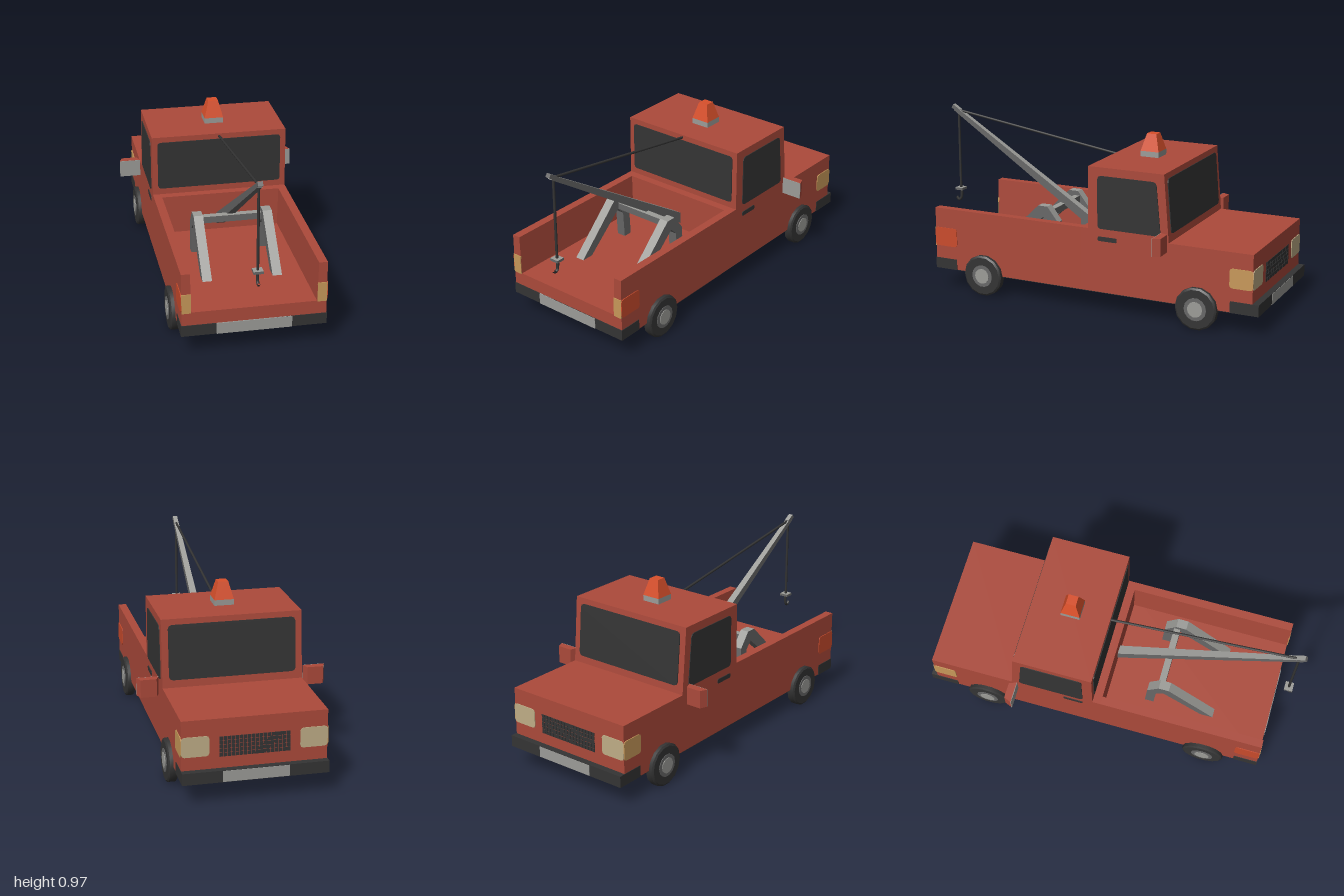
import * as THREE from 'three';
import { toCreasedNormals } from 'three/addons/utils/BufferGeometryUtils.js';

const mat = (name, color) => {
  const m = new THREE.MeshStandardMaterial({ color });
  m.name = name;
  return m;
};

export function createModel() {
  const model = new THREE.Group();
  model.name = 'towTruck';
  const red = mat('redPaint', 0xac4a3b);
  const dark = mat('darkRubberAndGlass', 0x343434);
  const light = mat('lightGrey', 0x9c9c98);
  const steel = mat('steel', 0x686868);
  const amber = mat('amberLamp', 0xc8995a);
  const lamp = mat('headlampGlass', 0xc0ae87);
  const orange = mat('orangeBeacon', 0xd9502b);
  const tail = mat('tailLamp', 0xca4b2c);

  const add = (name, geo, material, parent = model) => {
    const m = new THREE.Mesh(geo, material);
    m.name = name;
    parent.add(m);
    return m;
  };
  // Box given by its limits on each axis
  const box = (name, material, [x0, x1], [y0, y1], [z0, z1]) => {
    const m = add(name, new THREE.BoxGeometry(x1 - x0, y1 - y0, z1 - z0), material);
    m.position.set((x0 + x1) / 2, (y0 + y1) / 2, (z0 + z1) / 2);
    return m;
  };
  // Extrusion centred on its own depth, with optional cut corners
  const prism = (pts, depth, cut = 0) => {
    const v = pts.map(p => new THREE.Vector2(...p));
    const out = cut === 0 ? v : v.flatMap((p, i) => {
      const a = v[(i + v.length - 1) % v.length], b = v[(i + 1) % v.length];
      const toward = (q, d) => p.clone().add(q.clone().sub(p).setLength(d));
      const mid = p.clone().add(a.clone().sub(p).setLength(cut * 0.3)).add(b.clone().sub(p).setLength(cut * 0.3));
      return [toward(a, cut), mid, toward(b, cut)];
    });
    return new THREE.ExtrudeGeometry(new THREE.Shape(out), { depth, bevelEnabled: false })
      .translate(0, 0, -depth / 2);
  };
  // Profile in (z, y), extruded across x
  const sidePrism = (pts, width, cut) => prism(pts, width, cut).rotateY(-Math.PI / 2);
  const rect = (a0, a1, b0, b1) => [[a0, b0], [a1, b0], [a1, b1], [a0, b1]];
  // Upward faces are bright metal, all others darker steel
  const metal = geo => {
    const g = geo.index ? geo.toNonIndexed() : geo;
    g.computeVertexNormals();
    g.clearGroups();
    const n = g.attributes.normal;
    for (let i = 0; i < n.count; i += 3) g.addGroup(i, 3, n.getY(i) > 0.3 ? 0 : 1);
    return g;
  };
  const rod = (name, a, b, r) => {
    const p = new THREE.Vector3(...a), q = new THREE.Vector3(...b);
    const m = add(name, new THREE.CylinderGeometry(r, r, p.distanceTo(q), 8), dark);
    m.position.copy(p).lerp(q, 0.5);
    m.quaternion.setFromUnitVectors(new THREE.Vector3(0, 1, 0), q.sub(p).normalize());
  };

  // Cab and hood in one profile
  add('cabAndHood', sidePrism([[0, 0.12], [0, 0.465], [-0.045, 0.465], [-0.045, 0.8], [-0.475, 0.8],
    [-0.505, 0.44], [-0.965, 0.44], [-0.965, 0.12]], 0.74), red);
  // Open bed
  box('bedFloor', red, [-0.37, 0.37], [0.12, 0.25], [0, 0.9]);
  for (const s of [1, -1]) {
    add('bedWall', prism([[s * 0.37, 0.25], [s * 0.32, 0.25], [s * 0.325, 0.465], [s * 0.37, 0.465]], 0.9), red)
      .position.z = 0.45;
  }
  box('underside', dark, [-0.369, 0.369], [0.117, 0.122], [-0.964, 0.899]);

  // Windows
  add('rearWindow', prism(rect(-0.34, 0.34, 0.5, 0.77), 0.008, 0.015), dark).position.z = -0.045;
  const windshield = add('windshield', prism(rect(-0.335, 0.335, -0.145, 0.145), 0.008, 0.02), dark);
  windshield.position.set(0, 0.625, -0.49);
  windshield.rotation.x = Math.atan2(0.03, 0.36);

  // Bumpers and plates
  box('frontBumper', dark, [-0.373, 0.373], [0.118, 0.18], [-1, -0.845]);
  box('frontPlate', light, [-0.17, 0.17], [0.12, 0.178], [-1.002, -0.998]);
  box('rearBumper', dark, [-0.373, 0.373], [0.118, 0.178], [0.77, 0.903]);
  box('rearPlate', light, [-0.193, 0.193], [0.118, 0.178], [0.9, 0.906]);

  // Grille of small openings
  const grille = new THREE.Group();
  grille.name = 'grille';
  model.add(grille);
  for (let i = 0; i < 18; i++) for (let j = 0; j < 5; j++) {
    add('grilleOpening', new THREE.BoxGeometry(0.0175, 0.019, 0.006), dark, grille)
      .position.set(-0.17 + i * 0.02, 0.25 + j * 0.0215, -0.965);
  }

  for (const s of [1, -1]) {
    const span = (a, b) => (s > 0 ? [a, b] : [-b, -a]);
    // Side glass, handle and lamps
    const sidePlate = (name, pts, material, cut) => {
      add(name, sidePrism(pts, 0.008, cut), material).position.x = s * 0.37;
    };
    sidePlate('sideWindow', [[-0.1, 0.47], [-0.1, 0.755], [-0.433, 0.755], [-0.46, 0.47]], dark, 0.018);
    sidePlate('doorHandle', rect(-0.21, -0.102, 0.403, 0.427), dark, 0.006);
    sidePlate('frontSideLamp', rect(-0.967, -0.84, 0.25, 0.355), amber, 0.015);
    sidePlate('rearSideLamp', rect(0.765, 0.902, 0.25, 0.355), tail, 0.015);
    box('rearLamp', amber, span(0.322, 0.37), [0.247, 0.353], [0.896, 0.904]);
    add('headlamp', prism(rect(s * 0.3 - 0.07, s * 0.3 + 0.07, 0.25, 0.355), 0.008, 0.015), lamp)
      .position.z = -0.965;

    // Mirror, narrower towards its front
    const shell = new THREE.BoxGeometry(0.116, 0.095, 0.04);
    const p = shell.attributes.position;
    for (let i = 0; i < p.count; i++) if (p.getZ(i) < 0) p.setX(i, p.getX(i) * 0.72);
    shell.computeVertexNormals();
    add('mirrorShell', shell, red).position.set(s * 0.442, 0.448, -0.488);
    box('mirrorGlass', light, span(0.384, 0.5), [0.401, 0.495], [-0.469, -0.465]);

    // Wheels
    for (const z of [0.595, -0.665]) {
      const wheel = new THREE.Group();
      wheel.name = 'wheel';
      wheel.position.set(s * 0.37, 0.115, z);
      wheel.rotation.z = -s * Math.PI / 2;
      model.add(wheel);
      const profile = [[0, -0.025], [0.105, -0.025], [0.115, -0.018], [0.115, 0.018], [0.105, 0.025], [0, 0.025]];
      add('tyre', toCreasedNormals(new THREE.LatheGeometry(profile.map(q => new THREE.Vector2(...q)), 14), 0.6), dark, wheel);
      add('rim', new THREE.CylinderGeometry(0.062, 0.062, 0.004, 14), steel, wheel).position.y = 0.026;
      add('hub', new THREE.CylinderGeometry(0.042, 0.042, 0.004, 14), light, wheel).position.y = 0.029;
    }

    // Bent crane leg standing on the bed floor
    const leg = sidePrism([[0.6, 0.25], [0.34, 0.502], [0.283, 0.502], [0.22, 0.42], [0.21, 0.25],
      [0.26, 0.25], [0.27, 0.4], [0.31, 0.44], [0.53, 0.25]], 0.05);
    add('craneLeg', metal(leg), [light, steel]).position.x = s * 0.185;
  }

  // Crossbar and tapering boom
  add('crossbar', metal(new THREE.BoxGeometry(0.34, 0.036, 0.036)), [light, steel]).position.set(0, 0.458, 0.29);
  const boom = sidePrism([[-0.005, 0.28], [-0.005, 0.345], [0.975, 0.962], [0.985, 0.94]], 0.05);
  const bp = boom.attributes.position;
  for (let i = 0; i < bp.count; i++) bp.setX(i, bp.getX(i) * (1 - 0.5 * bp.getZ(i)));
  add('boom', metal(boom), [light, steel]);
  const tip = add('boomTip', metal(new THREE.BoxGeometry(0.026, 0.022, 0.05)), [light, steel]);
  tip.position.set(0, 0.951, 0.974);
  tip.rotation.x = -0.57;

  // Cables, hook block and hook
  rod('stayCable', [0, 0.785, -0.045], [0, 0.943, 0.97], 0.007);
  rod('hoistCable', [0, 0.94, 0.96], [0, 0.48, 0.96], 0.007);
  add('hookBlock', metal(new THREE.BoxGeometry(0.05, 0.014, 0.046)), [light, steel]).position.set(0, 0.482, 0.96);
  const hookPath = new THREE.CatmullRomCurve3([[0.48, 0.957], [0.445, 0.957], [0.422, 0.962], [0.413, 0.976], [0.428, 0.99]]
    .map(([y, z]) => new THREE.Vector3(0, y, z)));
  add('hook', new THREE.TubeGeometry(hookPath, 12, 0.008, 6), dark);

  // Roof beacon
  box('beaconBase', light, [-0.052, 0.052], [0.798, 0.83], [-0.305, -0.201]);
  const glass = new THREE.CylinderGeometry(0.027 * Math.SQRT2, 0.052 * Math.SQRT2, 0.092, 4)
    .rotateY(Math.PI / 4).toNonIndexed();
  glass.computeVertexNormals();
  add('beaconGlass', glass, orange).position.set(0, 0.876, -0.253);

  return model;
}
